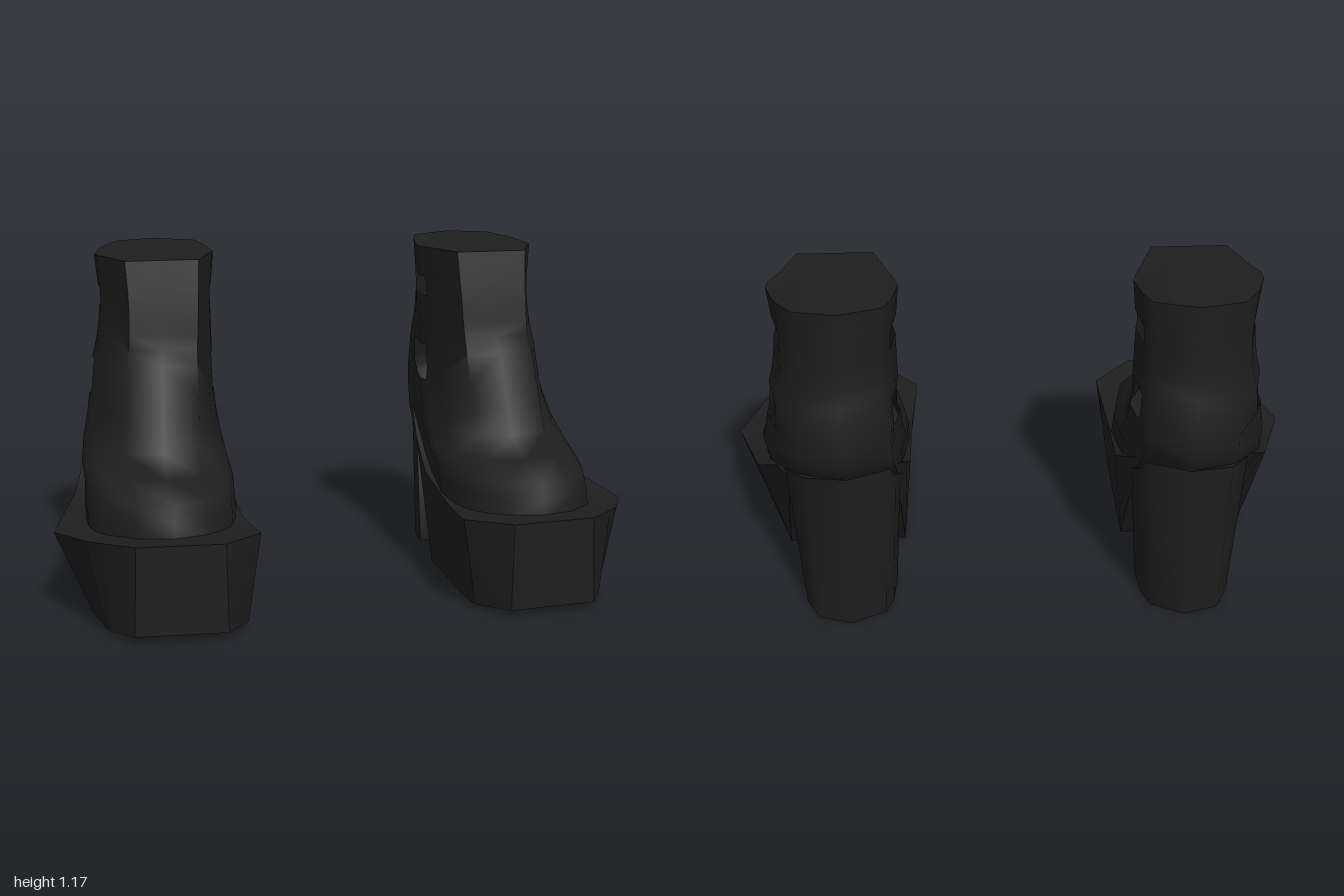
import * as THREE from 'three';
import { toCreasedNormals } from 'three/addons/utils/BufferGeometryUtils.js';

// Skin a list of equal-length rings; side = -1 mirrors the result in x.
function loft(rings, side, crease, skip = () => false) {
  const n = rings[0].length;
  const pos = rings.flat().flatMap(([x, y, z]) => [x * side, y, z]);
  const index = [];
  const tri = (a, b, c) => (side > 0 ? index.push(a, b, c) : index.push(a, c, b));
  for (let i = 0; i < rings.length - 1; i++) {
    for (let j = 0; j < n; j++) {
      if (skip(i, j)) continue;
      const k = (j + 1) % n;
      const a = i * n + j, b = i * n + k, c = b + n, d = a + n;
      tri(a, b, c);
      tri(a, c, d);
    }
  }
  const top = (rings.length - 1) * n;
  for (let j = 1; j < n - 1; j++) {
    tri(0, j + 1, j);
    tri(top, top + j, top + j + 1);
  }
  const geo = new THREE.BufferGeometry();
  geo.setAttribute('position', new THREE.Float32BufferAttribute(pos, 3));
  geo.setIndex(index);
  return toCreasedNormals(geo, crease);
}

// Slices of the upper: y, front z, back z, inner x, outer x, toe roundness, cut-out width
const SLICES = [
  [0.29, 0.46, -0.24, 0.37, 0.885, 1, 1],
  [0.36, 0.45, -0.31, 0.37, 0.885, 1, 1],
  [0.415, 0.425, -0.36, 0.37, 0.88, 1, 1],
  [0.455, 0.25, -0.42, 0.372, 0.88, 0.9, 1],
  [0.52, 0.135, -0.51, 0.377, 0.865, 0.6, 1],
  [0.60, 0.10, -0.57, 0.385, 0.845, 0.4, 0.9],
  [0.66, 0.075, -0.59, 0.388, 0.835, 0.3, 0.65],
  [0.70, 0.06, -0.586, 0.388, 0.83, 0.3, 0.9],
  [0.79, 0.022, -0.575, 0.39, 0.818, 0.2, 1],
  [0.85, 0, -0.555, 0.391, 0.803, 0.2, 1],
  [0.90, -0.01, -0.542, 0.392, 0.795, 0.1, 1],
  [0.97, -0.022, -0.537, 0.393, 0.788, 0, 1],
  [1.04, -0.035, -0.532, 0.388, 0.79, 0, 1],
  [1.15, -0.057, -0.526, 0.378, 0.80, 0, 1],
];
const BACK_X = 0.568;

function upperRing([y, zf, zb, xi, xo, r, h]) {
  // outline from the front centre along the outer side to the back, then the inner side
  const outline = [
    [0, 1], [0.6 - 0.15 * r, 1 - 0.1 * r], [0.83, 0.45 + 0.12 * r], [0.99, 0.18 * h],
    [1, 0], [0.85, -0.45 * h], [0.66, -0.84], [0, -1], [-0.7, -0.78],
    [-0.92, -0.45 * h], [-1, 0], [-0.95, 0.18 * h], [-0.83, 0.45 + 0.12 * r],
    [-0.6 + 0.15 * r, 1 - 0.1 * r],
  ];
  return outline.map(([u, w]) => [
    (w < -0.7 ? BACK_X : (xi + xo) / 2) + u * (xo - xi) / 2,
    y + (y > 1.1 ? Math.max(0, -w) * 0.025 : 0),
    (zf + zb) / 2 + w * (zf - zb) / 2,
  ]);
}

// Two cut-outs on each side of the shaft
const cutOut = (i, j) => [6, 7, 11].includes(i) && [3, 4, 9, 10].includes(j);

// Platform stations, back to front: z, bottom y, top y, top inner/outer x, bottom inner/outer x, inner z lead
const STATIONS = [
  [-0.40, 0.47, 0.54, 0.40, 0.80, 0.44, 0.75, 0],
  [-0.36, 0.42, 0.51, 0.39, 0.82, 0.42, 0.77, 0],
  [-0.25, 0.26, 0.44, 0.372, 0.86, 0.40, 0.79, 0],
  [-0.10, 0.0, 0.34, 0.366, 0.905, 0.395, 0.81, 0],
  [0.20, 0.0, 0.287, 0.363, 1.0, 0.39, 0.88, 0],
  [0.40, 0.008, 0.31, 0.348, 0.91, 0.388, 0.85, 0],
  [0.45, 0.013, 0.315, 0.345, 0.867, 0.39, 0.835, 0],
  [0.557, 0.028, 0.325, 0.48, 0.765, 0.475, 0.775, 0.022],
];
const stationRing = ([z, yb, yt, ti, to, bi, bo, lead]) => [
  [bi, yb, z + lead], [bo, yb, z],
  [to, yt, z], [ti, Math.max(yt, 0.3), z + lead],
];

// Heel outline, front inner corner first: bottom x, z then top x, z, y
const HEEL = [
  [0.42, -0.345, 0.395, -0.322, 0.45],
  [0.72, -0.385, 0.775, -0.36, 0.48],
  [0.73, -0.45, 0.77, -0.43, 0.55],
  [0.685, -0.54, 0.70, -0.55, 0.59],
  [0.57, -0.575, 0.56, -0.583, 0.60],
  [0.455, -0.52, 0.43, -0.515, 0.59],
  [0.43, -0.45, 0.405, -0.43, 0.55],
];

function makeBoot(side, material) {
  const boot = new THREE.Group();
  boot.name = side > 0 ? 'leftBoot' : 'rightBoot';
  const add = (name, geometry) => {
    const mesh = new THREE.Mesh(geometry, material);
    mesh.name = name;
    boot.add(mesh);
  };
  add('upper', loft(SLICES.map(upperRing), side, 1.15, cutOut));
  add('platformSole', loft(STATIONS.map(stationRing), side, 0.5));
  const heelRings = [
    HEEL.map(([x, z]) => [x, 0, z]),
    HEEL.map(([, , x, z, y]) => [x, y, z]),
  ];
  add('blockHeel', loft(heelRings, side, 1.0));
  return boot;
}

export function createModel() {
  const model = new THREE.Group();
  model.name = 'platformBoots';
  const leather = new THREE.MeshStandardMaterial({ color: 0x1e1e1e, side: THREE.DoubleSide });
  leather.name = 'blackLeather';
  for (const side of [1, -1]) model.add(makeBoot(side, leather));
  return model;
}
